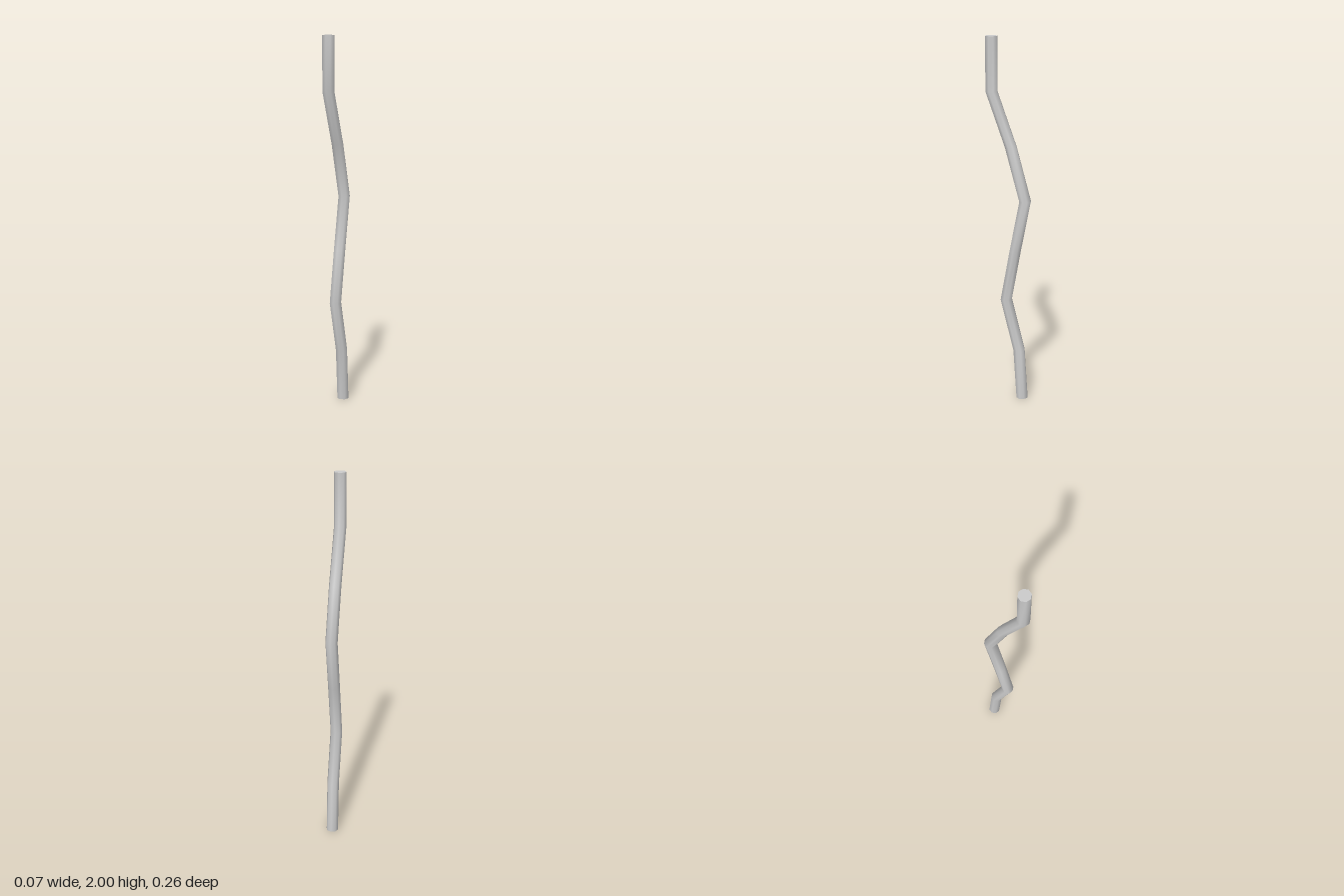
import * as THREE from 'three';
import { toCreasedNormals } from 'three/addons/utils/BufferGeometryUtils.js';

export function createModel() {
  const group = new THREE.Group();
  group.name = 'crookedStick';

  // z offset of each evenly spaced ring, from bottom to top
  const offsets = [-0.086, -0.066, 0.013, -0.041, -0.099, -0.014, 0.099, 0.099];
  const segments = offsets.length - 1;

  // Eight-sided rod whose level rings slide forwards and backwards
  const rod = new THREE.CylinderGeometry(0.033, 0.033, 2, 8, segments);
  rod.translate(0, 1, 0);
  const pos = rod.attributes.position;
  for (let i = 0; i < pos.count; i++) {
    const ring = Math.round((pos.getY(i) / 2) * segments);
    pos.setZ(i, pos.getZ(i) + offsets[ring]);
  }

  // Smooth sides, sharp end caps
  const stick = new THREE.Mesh(
    toCreasedNormals(rod, Math.PI / 3),
    new THREE.MeshStandardMaterial({ color: 0xcccccc })
  );
  stick.name = 'stick';
  group.add(stick);
  return group;
}
